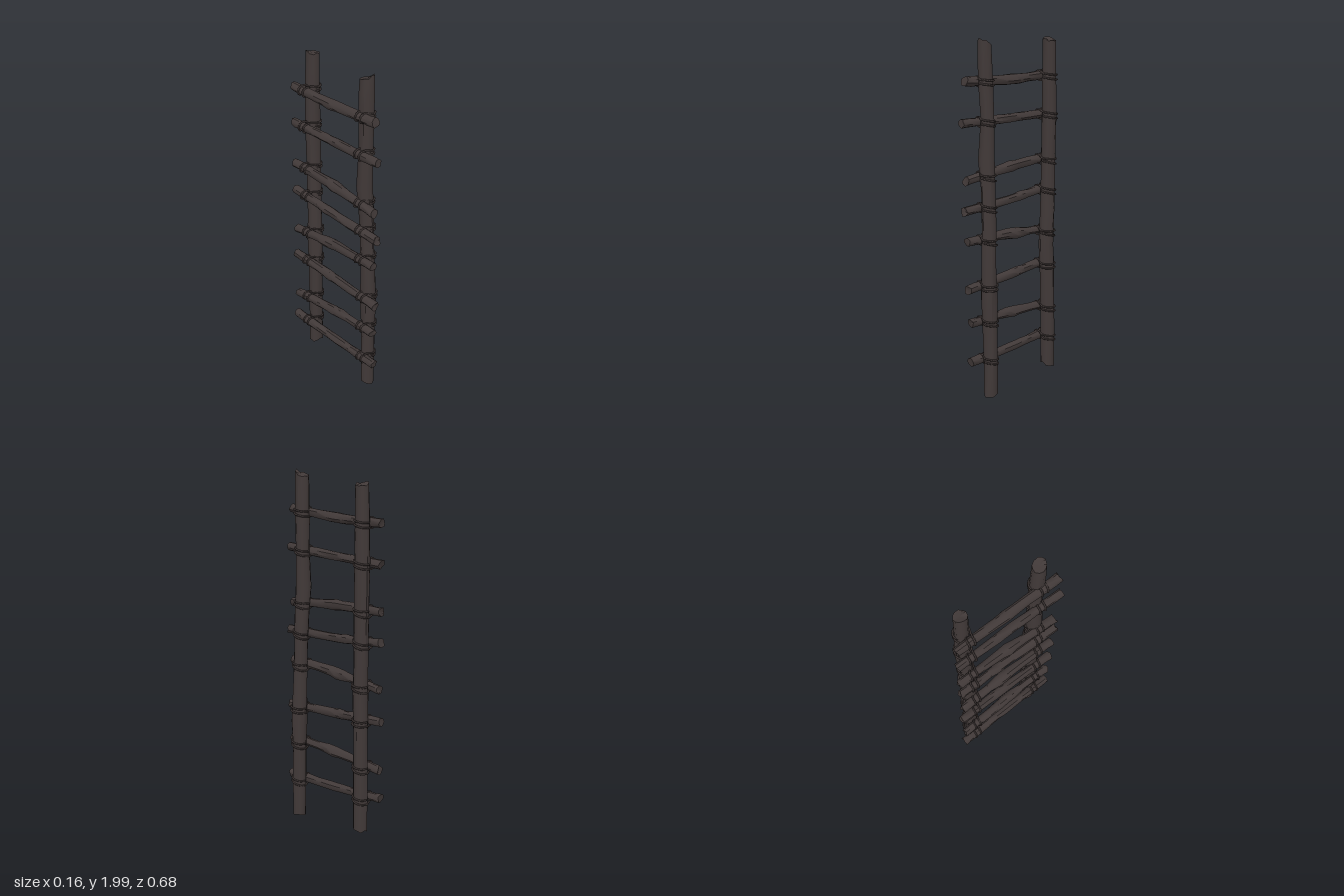
import * as THREE from 'three';
import { toCreasedNormals } from 'three/addons/utils/BufferGeometryUtils.js';

const wood = new THREE.MeshStandardMaterial({ color: 0x413938 });
wood.name = 'dark wood';
const cord = new THREE.MeshStandardMaterial({ color: 0x3d3534 });
cord.name = 'dark cord';

// repeatable noise in -1..1
function noise(a, b, c) {
  const s = Math.sin(a * 12.99 + b * 78.23 + c * 37.72) * 43758.55;
  return 2 * (s - Math.floor(s)) - 1;
}

// Rough branch along y through stations [y, x, z, radius], listed from the top down.
// slant = slope of the [top, bottom] cuts along z; jag = end roughness.
function branch(stations, sides, seed, rough, jag, slant) {
  const n = stations.length - 1;
  const geo = new THREE.CylinderGeometry(1, 1, n, sides, n);
  const p = geo.attributes.position;
  for (let i = 0; i < p.count; i++) {
    const x = p.getX(i), z = p.getZ(i);
    const k = Math.round(n / 2 - p.getY(i));
    const [sy, sx, sz, r] = stations[k];
    const rim = Math.hypot(x, z) > 0.5;
    const a = (Math.round(Math.atan2(x, z) / (2 * Math.PI) * sides) + sides) % sides;
    const f = r * (1 + rough * noise(a, k, seed));
    let y = sy;
    if (k === 0 || k === n) {
      const out = k === 0 ? 1 : -1;
      y += z * r * slant[k ? 1 : 0] + (rim ? out * jag * (noise(a, k + 5, seed) - 1) / 2 : -out * jag * 0.7);
    }
    p.setXYZ(i, sx + x * f, y, sz + z * f);
  }
  return geo;
}

function addMesh(parent, geo, material, name) {
  const mesh = new THREE.Mesh(geo, material);
  mesh.name = name;
  parent.add(mesh);
}

// Two upright poles: [y, x, z, radius]
const frontPole = [
  [1.985, -0.01, 0.208, 0.036], [1.9, -0.01, 0.206, 0.039], [1.75, -0.006, 0.203, 0.039],
  [1.58, 0.0, 0.198, 0.037], [1.36, -0.008, 0.2, 0.043], [1.2, 0.005, 0.202, 0.04],
  [1.0, 0.013, 0.205, 0.039], [0.8, 0.015, 0.21, 0.041], [0.58, 0.02, 0.215, 0.045],
  [0.45, 0.022, 0.212, 0.041], [0.2, 0.024, 0.212, 0.039], [0.0, 0.026, 0.212, 0.038],
];
const backPole = [
  [1.965, 0.03, -0.23, 0.036], [1.8, 0.028, -0.232, 0.038], [1.55, 0.028, -0.235, 0.041],
  [1.3, 0.026, -0.232, 0.04], [1.0, 0.027, -0.23, 0.041], [0.8, 0.024, -0.224, 0.043],
  [0.62, 0.028, -0.232, 0.041], [0.3, 0.03, -0.236, 0.04], [0.045, 0.03, -0.238, 0.039],
];

// Rungs: y at front end, middle and back end, z of both ends, x at front end, middle swelling
const rungs = [
  [1.78, 1.758, 1.755, 0.317, -0.32, -0.05, 1.3],
  [1.565, 1.55, 1.54, 0.34, -0.32, -0.052, 1.0],
  [1.255, 1.282, 1.29, 0.315, -0.325, -0.048, 1.3],
  [1.095, 1.1, 1.122, 0.337, -0.325, -0.042, 1.0],
  [0.918, 0.9, 0.86, 0.317, -0.32, -0.045, 1.35],
  [0.652, 0.665, 0.682, 0.327, -0.336, -0.033, 1.1],
  [0.452, 0.435, 0.4, 0.312, -0.325, -0.034, 1.3],
  [0.225, 0.222, 0.236, 0.322, -0.336, -0.027, 1.0],
];

// value of column c of a pole at height y
function poleAt(pole, y, c) {
  const i = pole.findIndex((s) => s[0] <= y);
  const [a, b] = [pole[i - 1], pole[i]];
  return THREE.MathUtils.lerp(b[c], a[c], (y - b[0]) / (a[0] - b[0]));
}

// One closed turn of cord round the back of the pole and over the rung
function cordLoop(pole, rx, ry, shift, tilt) {
  const px = poleAt(pole, ry, 1), pz = poleAt(pole, ry, 2), r = poleAt(pole, ry, 3) + 0.003;
  const w = 0.027, y = ry + shift * 0.7, z = pz + shift;
  const pts = [
    [px + r, y, pz],
    [px + r * 0.7, y + tilt * 0.7, pz + r * 0.74],
    [px, y + tilt, pz + r],
    [rx + w * 0.5, ry + w, z + 0.008],
    [rx - w * 0.6, ry + w * 0.8, z + 0.003],
    [rx - w, ry, z],
    [rx - w * 0.6, ry - w * 0.8, z - 0.003],
    [rx + w * 0.5, ry - w, z - 0.008],
    [px, y - tilt, pz - r],
    [px + r * 0.7, y - tilt * 0.7, pz - r * 0.74],
  ].map((q) => new THREE.Vector3(...q));
  return new THREE.TubeGeometry(new THREE.CatmullRomCurve3(pts, true), 28, 0.0055, 5, true);
}

export function createModel() {
  const model = new THREE.Group();
  model.name = 'ladder';

  // Poles
  addMesh(model, toCreasedNormals(branch(frontPole, 11, 3, 0.07, 0.02, [0.45, 0]), 0.75), wood, 'frontPole');
  addMesh(model, toCreasedNormals(branch(backPole, 11, 8, 0.07, 0.02, [0, 0.25]), 0.75), wood, 'backPole');

  rungs.forEach(([yf, ym, yb, zf, zb, xf, swell], i) => {
    const group = new THREE.Group();
    group.name = 'rung' + (i + 1);
    model.add(group);

    // Rung, made upright and then laid along z
    const heightAt = (t) => THREE.MathUtils.lerp(yf, yb, t) + (ym - (yf + yb) / 2) * Math.sin(Math.PI * t);
    const xAt = (t) => THREE.MathUtils.lerp(xf, -0.032, t) + 0.004 * Math.sin(Math.PI * t);
    const mid = 0.53 + 0.04 * noise(i, 2, 4);
    const stations = [0, 0.08, 0.18, 0.32, mid - 0.07, mid, mid + 0.07, 0.7, 0.82, 0.92, 1].map((t) => {
      const bump = Math.max(0, 1 - Math.abs(t - mid) / 0.13);
      const r = 0.0245 * (1 + (swell - 1) * bump) * (1 + 0.05 * noise(i, t * 10, 6));
      return [THREE.MathUtils.lerp(zf, zb, t), xAt(t), -heightAt(t), r];
    });
    const geo = branch(stations, 9, i + 11, 0.1, 0.012, [0.25 * noise(i, 1, 1), 0.25 * noise(i, 2, 2)]);
    geo.rotateX(Math.PI / 2);
    addMesh(group, toCreasedNormals(geo, 0.75), wood, 'rungBranch');

    // Cord lashings at both poles
    for (const [pole, name] of [[frontPole, 'frontLashing'], [backPole, 'backLashing']]) {
      const t = (zf - poleAt(pole, yf, 2)) / (zf - zb);
      for (const shift of [-0.017, 0.017]) {
        addMesh(group, cordLoop(pole, xAt(t), heightAt(t), shift, 0.008 + 0.006 * noise(i, shift, 9)), cord, name);
      }
    }
  });
  return model;
}
